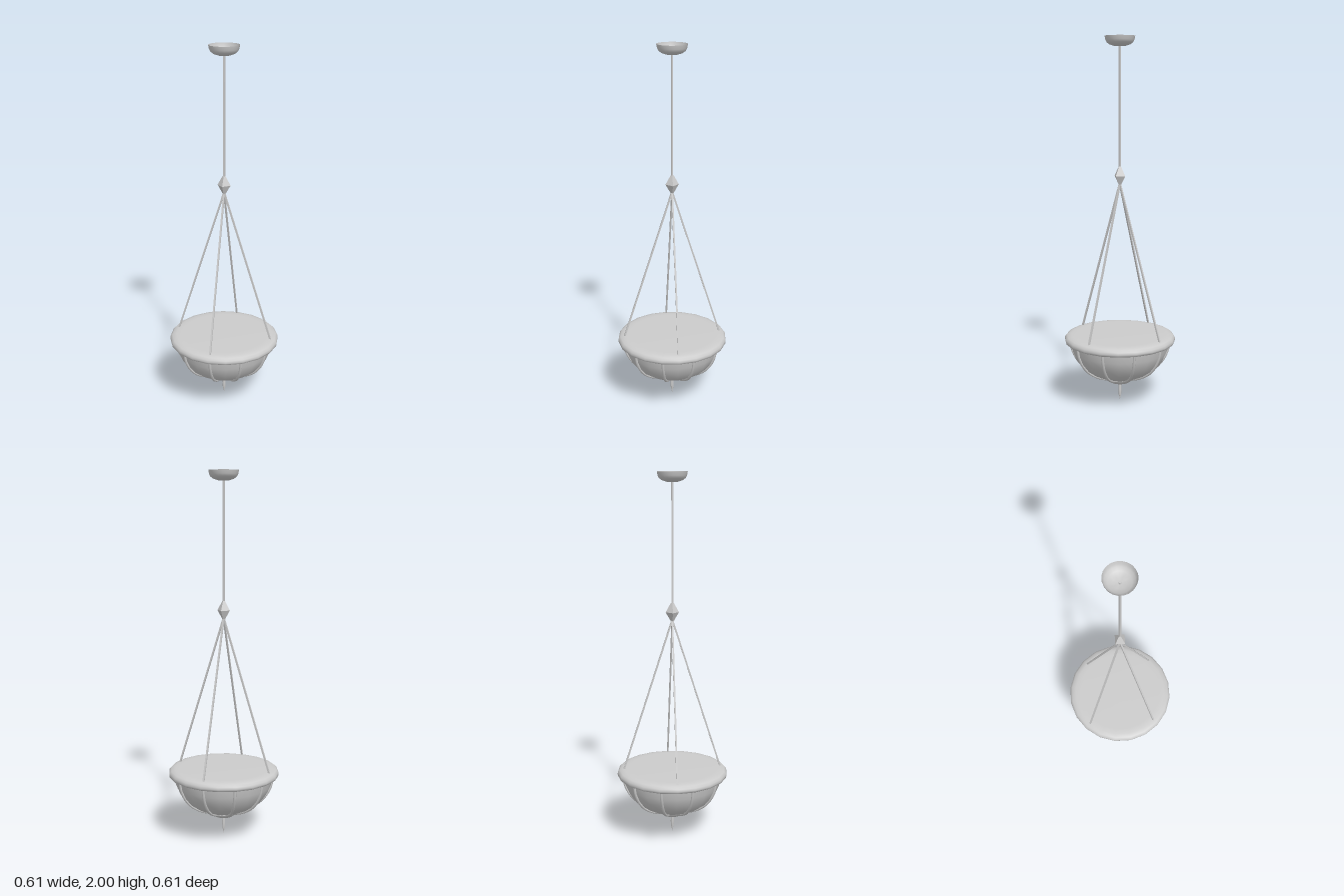
import * as THREE from 'three';
import { toCreasedNormals } from 'three/addons/utils/BufferGeometryUtils.js';

const SIDES = 20;
const smooth = new THREE.MeshStandardMaterial({ color: 0xcccccc, side: THREE.DoubleSide });
const flat = new THREE.MeshStandardMaterial({ color: 0xcccccc, flatShading: true });

const add = (parent, name, geometry, material = smooth) => {
  const mesh = new THREE.Mesh(geometry, material);
  mesh.name = name;
  parent.add(mesh);
  return mesh;
};

// Surface of revolution from [radius, height] points, listed bottom to top
const turned = (points, sides = SIDES, crease = 0.7) => toCreasedNormals(
  new THREE.LatheGeometry(points.map(([r, y]) => new THREE.Vector2(r, y)), sides), crease);

// Straight square bar between two points
const bar = (parent, name, from, to, width) => {
  const mesh = add(parent, name, new THREE.BoxGeometry(width, from.distanceTo(to), width), flat);
  mesh.position.copy(from).lerp(to, 0.5);
  mesh.quaternion.setFromUnitVectors(new THREE.Vector3(0, 1, 0), to.clone().sub(from).normalize());
  return mesh;
};

export function createModel() {
  const lamp = new THREE.Group();
  lamp.name = 'pendantLamp';

  // Hollow ceiling canopy, open at the top
  add(lamp, 'ceilingCanopy', turned([
    [0, 1.945], [0.03, 1.947], [0.055, 1.955], [0.07, 1.966], [0.077, 1.98], [0.081, 2],
  ]));

  // Stem and four-sided joint
  bar(lamp, 'stem', new THREE.Vector3(0, 1.29, 0), new THREE.Vector3(0, 1.955, 0), 0.01);
  add(lamp, 'diamondJoint', new THREE.LatheGeometry(
    [[0, 1.21], [0.006, 1.21], [0.036, 1.262], [0.008, 1.313], [0, 1.313]]
      .map(([r, y]) => new THREE.Vector2(r, y)), 4), flat);

  // Four slanting suspension rods
  for (let i = 0; i < 4; i++) {
    const holder = new THREE.Group();
    holder.name = 'suspensionRod' + (i + 1);
    holder.rotation.y = i * Math.PI / 2;
    bar(holder, 'rod', new THREE.Vector3(0.273, 0.37, 0), new THREE.Vector3(0, 1.222, 0), 0.009);
    lamp.add(holder);
  }

  // Rim with a closed, softly rounded top
  add(lamp, 'rim', turned([
    [0.27, 0.345], [0.295, 0.341], [0.304, 0.346], [0.306, 0.356], [0.304, 0.368],
    [0.293, 0.379], [0.27, 0.385], [0.24, 0.386], [0, 0.386],
  ], SIDES, 1.0));

  // Glass bowl
  const profile = [[0.07, 0.134], [0.115, 0.147], [0.165, 0.17], [0.21, 0.203],
    [0.244, 0.247], [0.265, 0.295], [0.274, 0.35]];
  add(lamp, 'bowl', turned([[0, 0.13], ...profile]));

  // Ten ribs following the bowl
  const ribPath = new THREE.CatmullRomCurve3(
    profile.map(([r, y]) => new THREE.Vector3(0, y - 0.002, r + 0.001)));
  const ribGeometry = new THREE.TubeGeometry(ribPath, 14, 0.008, 6);
  for (let i = 0; i < 10; i++) {
    add(lamp, 'rib' + (i + 1), ribGeometry).rotation.y = i * Math.PI / 5;
  }

  // Bottom cap and pointed finial
  add(lamp, 'bottomCap', turned([
    [0, 0.1], [0.03, 0.101], [0.055, 0.108], [0.07, 0.119], [0.076, 0.131], [0.07, 0.139], [0, 0.142],
  ]));
  add(lamp, 'finial', turned([
    [0, 0], [0.003, 0.016], [0.008, 0.035], [0.009, 0.06], [0.008, 0.105],
  ], 8));

  return lamp;
}
